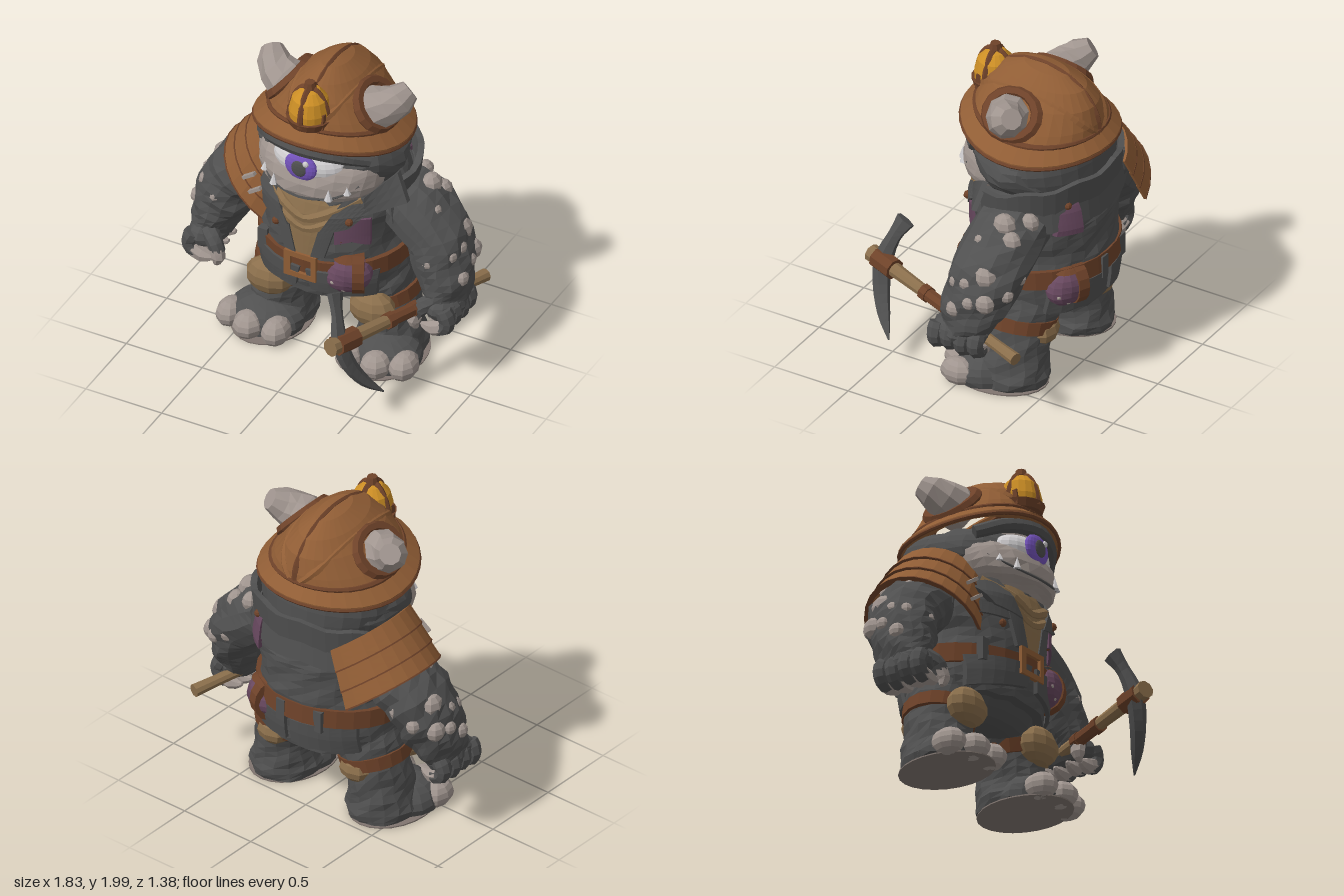
import * as THREE from 'three';

const mat = hex => new THREE.MeshStandardMaterial({ color: hex });
const M = {
  grey: mat(0x505050), sole: mat(0x80756f), horn: mat(0xa0958f), helmet: mat(0x905d35), leather: mat(0x6e4229),
  tan: mat(0x8b6f4c), purple: mat(0x68485f), amber: mat(0xcd8f25), iris: mat(0x7554bd), white: mat(0xcfcdcf),
};
for (const k in M) M[k].name = k;
const V = (x, y, z) => new THREE.Vector3(x, y, z);

export function createModel() {
  const root = new THREE.Group();
  root.name = 'minerCreature';

  // Faceted mesh helper
  const add = (name, m, geo, parent = root) => {
    const g = geo.index ? geo.toNonIndexed() : geo;
    g.computeVertexNormals();
    const mesh = new THREE.Mesh(g, m);
    mesh.name = name;
    parent.add(mesh);
    return mesh;
  };
  // Moves every vertex by fn(x, y, z) -> point
  const warp = (g, fn) => {
    const p = g.attributes.position;
    for (let i = 0; i < p.count; i++) p.setXYZ(i, ...fn(p.getX(i), p.getY(i), p.getZ(i)));
    return g;
  };
  const rough = (g, amp) => warp(g, (x, y, z) => [x + amp * Math.sin(31 * y + 17 * z), y + amp * Math.sin(29 * z + 23 * x), z + amp * Math.sin(27 * x + 33 * y)]);
  const ground = (g, h) => warp(g, (x, y, z) => [x, Math.max(h, y), z]);
  // Closed sweep through [x, y, z, radiusA, radiusB] points
  const sweep = (pts, n = 12, seg = 14) => {
    const path = new THREE.CatmullRomCurve3(pts.map(p => V(p[0], p[1], p[2])));
    const radii = new THREE.CatmullRomCurve3(pts.map(p => V(p[3], p[4] ?? p[3], 0)));
    const pos = [], idx = [];
    for (let i = 0; i <= n; i++) {
      const t = i / n, c = path.getPoint(t), T = path.getTangent(t), r = radii.getPoint(t);
      const a = T.clone().cross(V(0, 0, 1)).normalize(), b = a.clone().cross(T);
      for (let j = 0; j < seg; j++) {
        const q = j / seg * Math.PI * 2;
        pos.push(...c.clone().addScaledVector(a, r.x * Math.cos(q)).addScaledVector(b, r.y * Math.sin(q)).toArray());
      }
    }
    const s = (n + 1) * seg;
    pos.push(...path.getPoint(0).toArray(), ...path.getPoint(1).toArray());
    for (let j = 0; j < seg; j++) {
      const k = (j + 1) % seg;
      for (let i = 0; i < n; i++) {
        const o = i * seg, u = o + seg;
        idx.push(o + j, u + j, o + k, o + k, u + j, u + k);
      }
      idx.push(s, j, k, s + 1, n * seg + k, n * seg + j);
    }
    const g = new THREE.BufferGeometry();
    g.setAttribute('position', new THREE.Float32BufferAttribute(pos, 3));
    g.setIndex(idx);
    return g;
  };
  // Subdivided slab bent by fn(u, v, depth) -> point
  const bend = (nu, nv, fn) => warp(new THREE.BoxGeometry(1, 1, 1, nu, nv, 1), (x, y, z) => fn(x + .5, y + .5, z + .5));
  // Blend of four corners: bottom-left, bottom-right, top-right, top-left
  const blend = (c, u, v, i) => (c[0][i] * (1 - u) + c[1][i] * u) * (1 - v) + (c[3][i] * (1 - u) + c[2][i] * u) * v;
  const ball = (x, y, z, rx, ry, rz, a = 16, b = 12) => new THREE.SphereGeometry(1, a, b).scale(rx, ry, rz).translate(x, y, z);
  const box = (x, y, z, w, h, d) => new THREE.BoxGeometry(w, h, d).translate(x, y, z);
  const lathe = (pts, seg) => new THREE.LatheGeometry(pts.map(p => new THREE.Vector2(...p)), seg);

  // Jacket body
  const torso = [[0, .49, -.24, .44, .38], [0, .62, -.24, .46, .4], [0, .78, -.24, .45, .41], [0, .95, -.24, .45, .41],
    [0, 1.1, -.245, .47, .41], [0, 1.22, -.26, .44, .38], [0, 1.34, -.27, .36, .33]];
  add('jacket', M.grey, rough(sweep(torso, 18, 28), .006));
  add('hips', M.grey, sweep([[0, .41, -.27, .2, .16], [0, .46, -.26, .38, .29], [0, .56, -.25, .41, .36]], 5, 18));
  // Depth of the jacket surface; side 1 is the front, -1 the back
  const surface = (x, y, side) => {
    let i = 0;
    while (i < torso.length - 2 && torso[i + 1][1] < y) i++;
    const A = torso[i], B = torso[i + 1], t = (y - A[1]) / (B[1] - A[1]), L = k => A[k] + (B[k] - A[k]) * t;
    return L(2) + side * L(4) * Math.sqrt(Math.max(.02, 1 - (x / L(3)) ** 2));
  };
  // Plate laid on the jacket
  const patch = (name, m, c, off, thick, side = 1) => add(name, m, bend(6, 6, (u, v, k) => {
    const w = side < 0 ? 1 - u : u, x = blend(c, w, v, 0), y = blend(c, w, v, 1);
    return [x, y, surface(x, y, side) + side * (off + k * thick)];
  }));

  // Scarf, lapels, flaps and badges
  patch('scarf', M.tan, [[-.06, .79], [.06, .79], [.3, 1.23], [-.3, 1.23]], 0, .02);
  for (const d of [0, .07]) add('scarfFold', M.tan, sweep([[-.3, 1.2 - d * .4, .03, .035], [-.14, 1.11 - d, .15, .035], [0, 1.05 - d, .165, .035], [.14, 1.11 - d, .15, .035], [.3, 1.2 - d * .4, .03, .035]], 12, 7));
  for (const s of [1, -1]) {
    const flip = c => s > 0 ? c : [c[1], c[0], c[3], c[2]].map(p => [-p[0], p[1]]);
    patch('lapel', M.grey, flip([[.1, .98], [.27, 1.03], [.42, 1.2], [.23, 1.22]]), .005, .035);
    patch('jacketEdge', M.grey, flip([[.05, .8], [.13, .8], [.2, 1.05], [.1, 1.0]]), .005, .025);
    patch('jacketSkirt', M.grey, flip([[.05, .56], [.38, .51], [.4, .7], [.02, .7]]), .01, .03);
    patch('backSkirt', M.grey, flip([[.02, .54], [.38, .51], [.38, .7], [.02, .7]]), .005, .025, -1);
    add('button', M.leather, ball(s * .21, .93, surface(.21, .93, 1) + .01, .025, .025, .02, 8, 6));
  }
  patch('chestPocketFlap', M.grey, [[-.36, .98], [-.17, .96], [-.17, 1.03], [-.36, 1.05]], .005, .02);
  patch('chestBadge', M.purple, [[.19, .91], [.28, .93], [.285, 1.09], [.19, 1.09]], .012, .02);
  patch('chestBadge', M.purple, [[.28, .93], [.36, .89], [.365, 1.08], [.285, 1.09]], .012, .02);
  add('badgeStud', M.leather, ball(.27, 1.08, .13, .025, .025, .025, 8, 6));
  patch('backBadge', M.purple, [[.24, 1.06], [.37, 1.06], [.36, 1.27], [.24, 1.28]], .015, .03, -1);
  add('badgeStud', M.leather, ball(.3, 1.25, -.57, .025, .025, .025, 8, 6));

  // Upturned collar with a pointed wing
  const collar = (name, y0, y1, r0, r1, span) => add(name, M.grey, bend(24, 2, (u, v, k) => {
    const q = (u - .5) * 2 * span, r = r0 + (r1 - r0) * v + k * .035, drop = .1 * (2 * u - 1) ** 2;
    return [-r * 1.14 * Math.sin(q), y0 + (y1 - y0) * v - drop + .012 * Math.sin(9 * q), -.24 - (r - .03) * Math.cos(q)];
  }));
  collar('collar', 1.16, 1.39, .4, .425, 1.95);
  collar('collarFold', 1.12, 1.27, .425, .405, 2.05);
  const wing = [[.33, 1.1, .03], [.55, 1.19, -.1], [.47, 1.36, -.13], [.33, 1.23, .02]];
  add('collarWing', M.grey, bend(3, 3, (u, v, k) => [blend(wing, u, v, 0), blend(wing, u, v, 1), blend(wing, u, v, 2) + k * .035]));

  // Belt, buckle and pouches
  add('belt', M.leather, sweep([[0, .675, -.246, .475, .43], [0, .79, -.238, .475, .43]], 1, 28));
  const buckle = new THREE.Shape([[-.12, -.09], [.09, -.09], [.09, .085], [-.12, .085]].map(p => new THREE.Vector2(...p)));
  buckle.holes.push(new THREE.Path([[-.08, -.055], [-.08, .05], [.055, .05], [.055, -.055]].map(p => new THREE.Vector2(...p))));
  add('buckle', M.helmet, new THREE.ExtrudeGeometry(buckle, { depth: .025, bevelEnabled: false }).translate(0, .715, .18));
  for (const [x, z] of [[-.32, .07], [-.2, -.615], [.05, -.65]]) add('beltLoop', M.grey, box(x, .735, z, .06, .14, .05));
  for (const [x, z, turn] of [[.25, .09, .45], [.27, -.545, 2.7]]) {
    const g = new THREE.Group();
    g.name = 'pouch';
    g.position.set(x, .69, z);
    g.rotation.y = turn;
    root.add(g);
    add('pouchBody', M.purple, rough(ball(0, -.01, 0, .14, .12, .1, 14, 10), .004), g);
    add('pouchStrap', M.leather, new THREE.CylinderGeometry(1, 1, .07, 14).rotateZ(Math.PI / 2).scale(1, .135, .11).translate(.055, 0, 0), g);
    add('pouchFlap', M.leather, new THREE.SphereGeometry(1, 14, 3, 0, Math.PI * 2, 0, .7).scale(.145, .13, .115), g);
    for (const [a, b] of [[-.06, -.06], [-.03, -.085], [-.09, -.035]]) add('pouchStain', M.horn, ball(a, b, .062, .02, .014, .012, 7, 5), g);
  }

  // Legs, feet, soles, toes and knee pads
  for (const s of [1, -1]) {
    add('leg', M.grey, ground(rough(sweep([[s * .36, 0, -.23, .2, .22], [s * .36, .1, -.235, .2, .22], [s * .35, .22, -.24, .185, .21],
      [s * .32, .36, -.25, .19, .21], [s * .28, .48, -.25, .21, .24], [s * .24, .6, -.25, .2, .24]], 14, 16), .008), .006));
    add('foot', M.grey, ground(rough(ball(s * .385, .05, -.09, .24, .155, .2, 16, 12), .006), .006));
    add('sole', M.sole, new THREE.CylinderGeometry(1, 1, .008, 24).scale(.235, 1, .31).translate(s * .375, .004, -.15));
    for (const [x, z, r] of [[.245, .06, .085], [.42, .07, .095], [.57, .01, .085]])
      add('toe', M.horn, ground(ball(s * x, .07, z, r, .085, .115, 9, 8), 0));
    add('kneeStrap', M.leather, sweep([[s * .325, .35, -.25, .205, .225], [s * .305, .43, -.25, .21, .235]], 1, 18));
    add('kneePad', M.tan, ball(s * .34, .385, -.03, .15, .12, .1, 10, 7));
    add('calfPad', M.tan, ball(s * .31, .355, -.42, .11, .085, .08, 8, 6));
  }

  // Arms, warts and hands
  const warts = [[.48, 1.18, -.42, .06], [.58, 1.18, -.31, .075], [.62, 1.11, -.38, .065], [.67, 1.09, -.2, .04], [.78, .93, -.3, .08], [.83, .88, -.2, .045],
    [.84, .79, -.33, .065], [.87, .78, -.24, .045], [.87, .71, -.14, .05], [.81, .86, -.12, .045], [.7, .82, -.04, .04], [.54, .8, -.2, .045], [.64, .9, -.43, .06], [.75, .83, -.42, .05]];
  for (const s of [1, -1]) {
    add('arm', M.grey, rough(sweep([[s * .38, 1.1, -.28, .18, .22], [s * .52, 1.02, -.27, .195, .23], [s * .66, .89, -.25, .185, .225], [s * .715, .75, -.21, .18, .21],
      [s * .755, .62, -.17, .145, .18], [s * .77, .52, -.14, .11, .15]], 16, 16), .01));
    for (const [x, y, z, r] of warts) add('wart', M.horn, ball(s * x, y, z, r * .85, r, r, 8, 6));
    add('hand', M.grey, rough(ball(s * .775, .52, -.135, .115, .1, .18, 12, 8), .006));
    for (let i = 0; i < 4; i++) {
      const z = -i * .09, y = i % 2 * .01;
      add('finger', M.grey, sweep([[s * .82, .55, z, .05], [s * .85, .48 + y, z, .05], [s * .83, .43 + y, z, .048], [s * .78, .41 + y, z, .046]], 6, 8));
      add('claw', M.horn, sweep([[s * .82, .43 + y, z, .047], [s * .77, .41 + y, z + .005, .049], [s * .71, .41 + y, z + .01, .03], [s * .68, .42 + y, z + .01, .01]], 5, 7));
    }
    add('thumb', M.grey, sweep([[s * .74, .57, -.04, .055], [s * .68, .53, .01, .05], [s * .65, .47, .02, .045]], 5, 8));
    add('thumbClaw', M.horn, sweep([[s * .66, .49, .02, .046], [s * .645, .44, .03, .043], [s * .66, .39, .03, .015]], 4, 7));
  }

  // Shoulder guard: three arched leather plates
  const guard = (name, m, u0, u1, lift, thick) => add(name, m, bend(3, 14, (u, v, k) => {
    const t = u0 + (u1 - u0) * u, q = -1.5 + v * 3.3, r = .255 + .12 * t + lift + k * thick;
    return [-.26 - .15 * t - .8 * r * Math.cos(q), 1.24 - .33 * t + .6 * r * Math.cos(q), -.29 + (r * .5 + .175) * Math.sin(q)];
  }));
  [[0, .36], [.32, .7], [.66, 1]].forEach(([a, b], i) => {
    guard('shoulderPlate', M.helmet, a, b, (2 - i) * .012 - .02, .03);
    guard('shoulderPlateEdge', M.leather, b - .015, b + .01, (2 - i) * .012 - .022, .036);
  });
  for (const [x, y] of [[-.42, 1.14], [-.38, 1.05]]) add('staple', M.horn, box(0, 0, 0, .09, .02, .03).rotateZ(.6).translate(x, y, .07));

  // Head and face
  add('head', M.grey, rough(ball(0, 1.39, -.21, .46, .25, .39, 24, 16), .008));
  add('nape', M.grey, sweep([[0, 1.3, -.28, .4, .36], [0, 1.42, -.27, .44, .37], [0, 1.5, -.255, .42, .375], [0, 1.54, -.25, .38, .34]], 6, 24));
  add('jaw', M.horn, rough(sweep([[0, 1.165, -.05, .24, .2], [0, 1.21, -.055, .33, .28], [0, 1.29, -.06, .39, .31], [0, 1.37, -.08, .4, .28], [0, 1.44, -.1, .35, .2]], 10, 24), .004));
  add('eyeball', M.white, ball(0, 1.432, .09, .235, .122, .14, 22, 14));
  add('iris', M.iris, ball(0, 1.45, .217, .105, .095, .035, 20, 10));
  add('pupil', M.grey, ball(0, 1.45, .245, .05, .055, .014, 14, 8));
  add('eyeGlint', M.white, ball(.045, 1.495, .245, .02, .02, .014, 8, 6));
  add('brow', M.grey, sweep([[-.35, 1.49, .03, .04], [-.21, 1.55, .15, .045], [0, 1.575, .21, .048], [.21, 1.55, .15, .045], [.35, 1.49, .03, .04]], 14, 8));
  add('lowerLid', M.horn, sweep([[-.25, 1.41, .1, .022], [-.14, 1.35, .19, .022], [0, 1.325, .215, .022], [.14, 1.35, .19, .022], [.25, 1.41, .1, .022]], 12, 7));
  add('mouth', M.grey, sweep([[-.32, 1.34, .1, .008], [-.2, 1.275, .2, .008], [0, 1.25, .248, .008], [.2, 1.275, .2, .008], [.32, 1.34, .1, .008]], 14, 5));
  for (const s of [1, -1])
    for (const [x, z, h] of [[.18, .215, .075], [.27, .155, .05]]) add('tooth', M.white, new THREE.ConeGeometry(.026, h, 6).translate(s * x, 1.265 + (x - .18) * .4 + h / 2, z));

  // Helmet: crested dome, brim, ridges
  const helmet = new THREE.Group();
  helmet.name = 'helmet';
  helmet.position.set(0, 1.635, -.21);
  helmet.rotation.x = -.11;
  root.add(helmet);
  const crest = g => warp(g, (x, y, z) => {
    const nx = x * (1 - 1.5 * Math.max(0, y));
    return [nx, y - .25 * nx * nx, z * .98];
  });
  add('helmetShell', M.helmet, crest(lathe([[.3, 0], [.46, -.07], [.478, -.06], [.478, -.035], [.41, .02], [.395, .08], [.35, .18], [.27, .26], [.15, .315], [0, .335]], 32)), helmet);
  add('brimEdge', M.leather, crest(new THREE.TorusGeometry(.472, .014, 6, 36).rotateX(Math.PI / 2).translate(0, -.055, 0)), helmet);
  add('domeBand', M.leather, crest(new THREE.TorusGeometry(.405, .014, 6, 36).rotateX(Math.PI / 2).translate(0, .03, 0)), helmet);
  for (const a of [0, .8, -.8])
    add('ridge', a ? M.helmet : M.leather, crest(new THREE.TorusGeometry(1, .075, 6, 24, Math.PI).rotateY(Math.PI / 2).rotateZ(a).scale(.388, .322, .388)), helmet);
  add('frontPlate', M.leather, box(0, .09, .35, .24, .1, .08), helmet);

  // Horns and their sockets
  for (const s of [1, -1]) {
    add('hornSocket', M.leather, new THREE.TorusGeometry(.14, .035, 6, 16).scale(1.15, 1, 1).rotateY(s * 1.57).rotateZ(s * .7).translate(s * .285, 1.74, -.18));
    add('horn', M.horn, sweep([[s * .22, 1.7, -.15, .125], [s * .32, 1.735, -.17, .125], [s * .4, 1.78, -.21, .11], [s * .455, 1.835, -.28, .065]], 4, 9));
  }

  // Caged head lamp
  const lamp = new THREE.Group();
  lamp.name = 'lamp';
  lamp.position.set(0, 1.735, .105);
  root.add(lamp);
  add('lampGlass', M.amber, lathe([[.122, 0], [.125, .07], [.105, .15], [.06, .2], [0, .218]], 18), lamp);
  add('lampBase', M.leather, new THREE.CylinderGeometry(.142, .125, .05, 18), lamp);
  for (const q of [0, Math.PI / 2]) add('lampCage', M.leather, new THREE.TorusGeometry(.121, .02, 6, 16, Math.PI).scale(1, 1.7, 1).rotateY(q), lamp);
  add('lampKnob', M.leather, new THREE.CylinderGeometry(.03, .04, .04, 8).translate(0, .235, 0), lamp);

  // Pickaxe
  const A = V(.44, .59, .68), B = V(.82, .46, -.53), at = (t, r) => [...A.clone().lerp(B, t).toArray(), r];
  add('pickHandle', M.tan, sweep([at(0, .055), at(.15, .045), at(.5, .036), at(.85, .035), at(1, .04)], 10, 9));
  for (const [a, b, r] of [[.04, .16, .066], [.36, .4, .05], [.4, .52, .042], [.52, .56, .048]]) add('handleWrap', M.leather, sweep([at(a, r), at(b, r)], 2, 8));
  add('pickBlade', M.grey, sweep([[.37, .84, .49, .035, .065], [.41, .74, .54, .03, .045], [.455, .58, .59, .045, .06], [.51, .42, .57, .035, .055],
    [.58, .29, .51, .025, .04], [.66, .19, .43, .004, .005]], 14, 6));
  return root;
}
